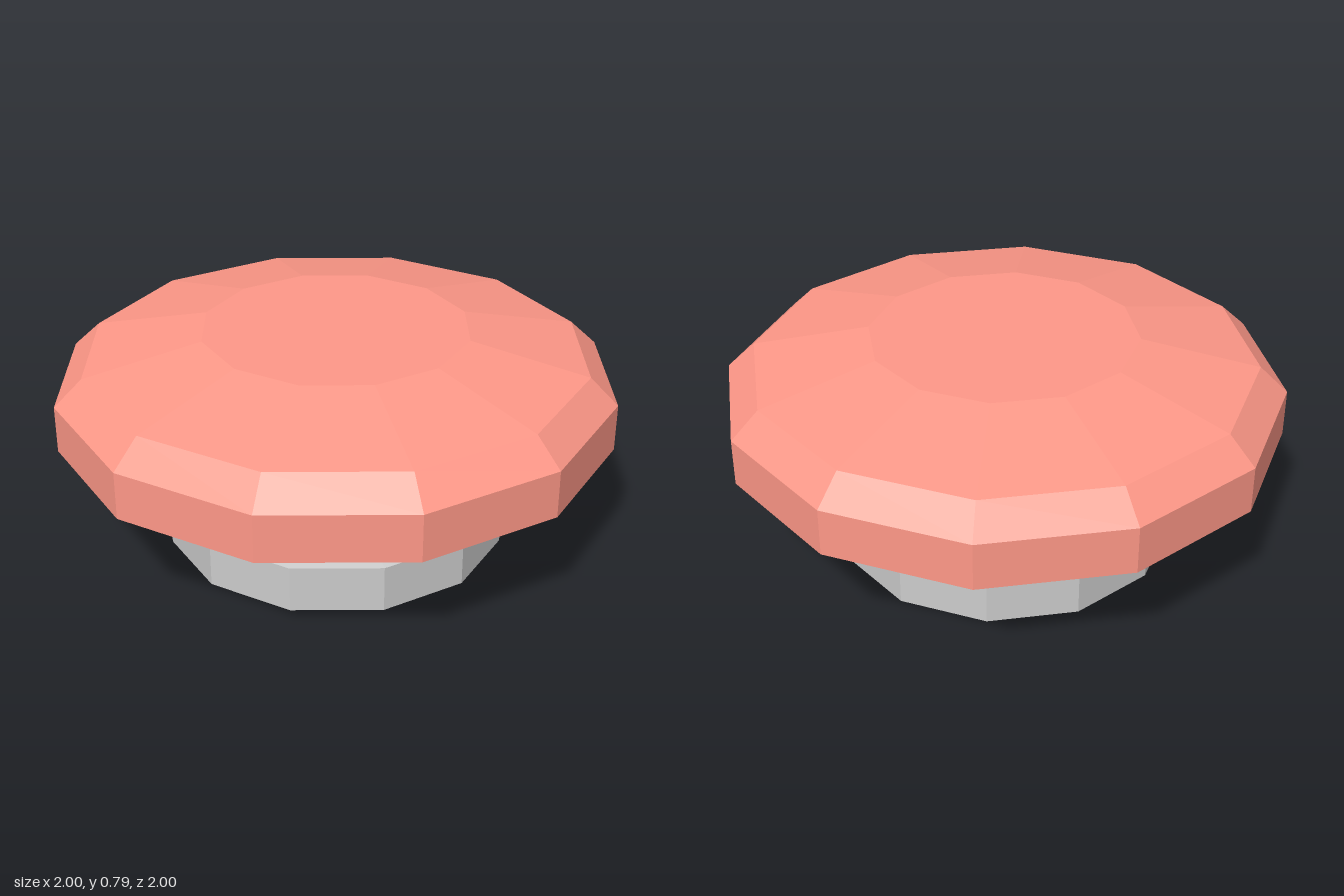
import * as THREE from 'three';

const SIDES = 12;

// Turns a bottom-to-top list of [radius, height] into a faceted solid
function turned(name, color, profile) {
  const points = profile.map(([r, y]) => new THREE.Vector2(r, y));
  const material = new THREE.MeshStandardMaterial({ color, flatShading: true });
  const mesh = new THREE.Mesh(new THREE.LatheGeometry(points, SIDES), material);
  mesh.name = name;
  return mesh;
}

export function createModel() {
  const model = new THREE.Group();
  model.name = 'pushButton';

  // Grey foot with a shallow sloping top
  model.add(turned('base', 0xcccccc, [
    [0, 0], [0.62, 0], [0.62, 0.17], [0.36, 0.21], [0, 0.21],
  ]));

  // Red neck flaring into a wide bevelled cap
  model.add(turned('cap', 0xff9888, [
    [0, 0.21], [0.62, 0.21], [0.62, 0.38], [0.69, 0.42], [1, 0.435],
    [1, 0.605], [0.9, 0.7], [0.48, 0.79], [0, 0.79],
  ]));

  return model;
}
